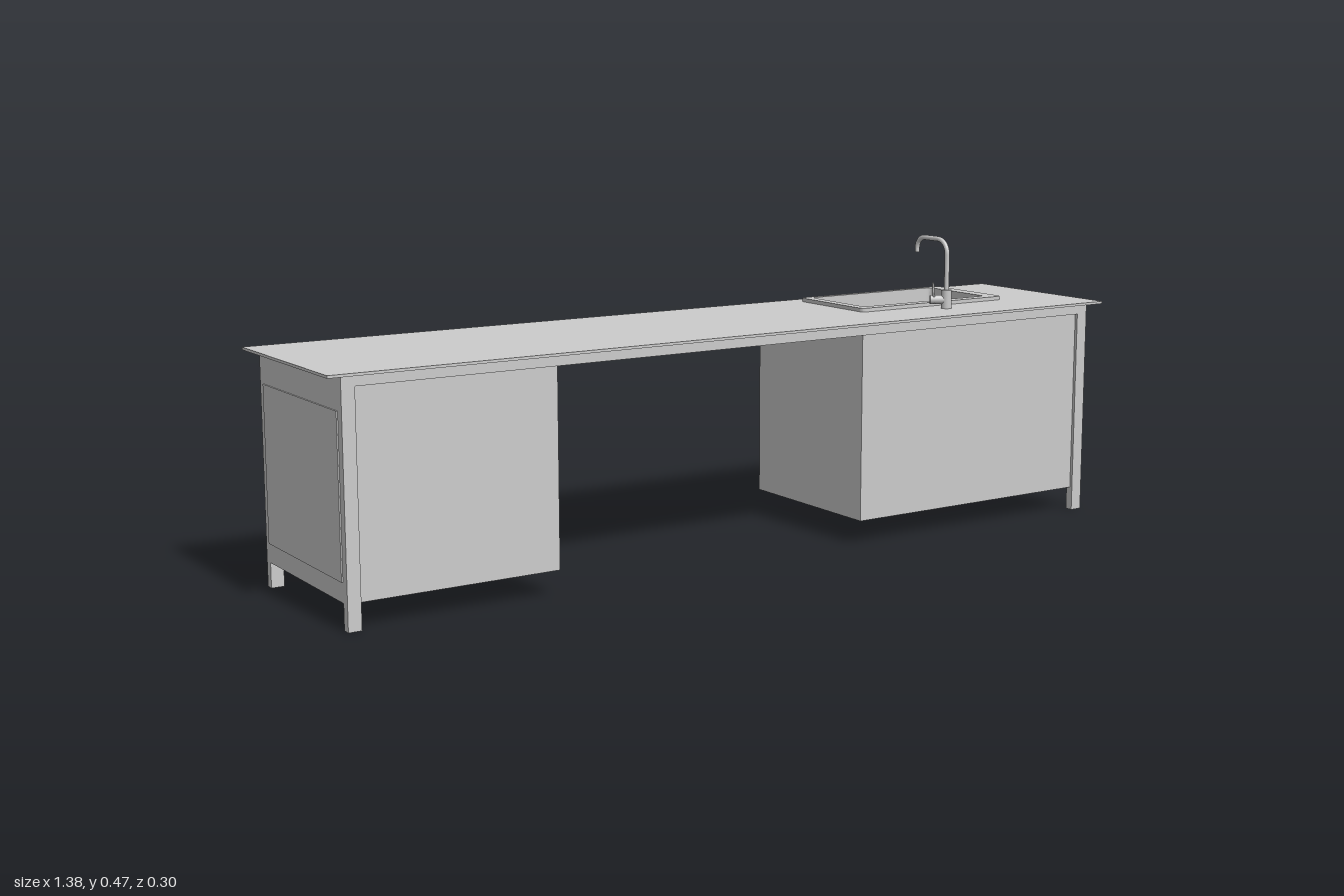
import * as THREE from 'three';

const mat = new THREE.MeshStandardMaterial({ color: 0xcccccc });

function add(group, name, geometry) {
  const mesh = new THREE.Mesh(geometry, mat);
  mesh.name = name;
  group.add(mesh);
  return mesh;
}

// Box given by its limits on each axis
function box(group, name, x0, x1, y0, y1, z0, z1) {
  const mesh = add(group, name, new THREE.BoxGeometry(x1 - x0, y1 - y0, z1 - z0));
  mesh.position.set((x0 + x1) / 2, (y0 + y1) / 2, (z0 + z1) / 2);
  return mesh;
}

// Rounded rectangle outline in x and z
function outline(target, x0, x1, z0, z1, r) {
  target.moveTo(x0 + r, z0);
  target.lineTo(x1 - r, z0);
  target.quadraticCurveTo(x1, z0, x1, z0 + r);
  target.lineTo(x1, z1 - r);
  target.quadraticCurveTo(x1, z1, x1 - r, z1);
  target.lineTo(x0 + r, z1);
  target.quadraticCurveTo(x0, z1, x0, z1 - r);
  target.lineTo(x0, z0 + r);
  target.quadraticCurveTo(x0, z0, x0 + r, z0);
  return target;
}

// Horizontal slab with a rectangular opening, from y1 down to y0
function slab(group, name, outer, inner, y0, y1) {
  const shape = outline(new THREE.Shape(), ...outer);
  shape.holes.push(outline(new THREE.Path(), ...inner));
  const geo = new THREE.ExtrudeGeometry(shape, { depth: y1 - y0, bevelEnabled: false, curveSegments: 6 });
  geo.rotateX(Math.PI / 2);
  geo.translate(0, y1, 0);
  return add(group, name, geo);
}

const BACK = 0.025, FRONT = 0.31, UNDER = 0.348;
const BOWL = [-0.018, 0.236, 0.05, 0.19, 0.008];

// Hollow cabinet; outer is the frame end, inner the knee-space end, s the outward direction
function cabinet(name, outer, inner, s) {
  const g = new THREE.Group();
  g.name = name;
  const span = (part, a, b, ...rest) => box(g, part, Math.min(a, b), Math.max(a, b), ...rest);
  const post = outer - s * 0.02;
  for (const [z0, z1] of [[BACK, BACK + 0.013], [FRONT - 0.013, FRONT]])
    span('leg', post, outer, 0, UNDER, z0, z1);
  span('endWall', outer - s * 0.006, outer - s * 0.001, 0.038, UNDER, BACK + 0.013, FRONT - 0.013);
  span('endTopRail', post, outer, 0.3, UNDER, BACK + 0.013, FRONT - 0.013);
  span('endBottomRail', post, outer, 0.038, 0.067, BACK + 0.013, FRONT - 0.013);
  span('endPanel', post, outer + s * 0.002, 0.067, 0.3, 0.039, 0.297);
  span('frontPanel', inner, post, 0.038, UNDER, FRONT - 0.01, FRONT - 0.005);
  span('backPanel', inner, post, 0.038, UNDER, BACK + 0.004, BACK + 0.009);
  span('innerWall', inner, inner + s * 0.006, 0.038, UNDER, BACK + 0.004, FRONT - 0.005);
  span('floor', inner, outer - s * 0.002, 0.038, 0.043, BACK + 0.004, FRONT - 0.005);
  return g;
}

// Bar handle on two short standoffs, lying along x
function handle(name, length) {
  const g = new THREE.Group();
  g.name = name;
  box(g, 'bar', -length / 2, length / 2, -0.003, 0.003, 0.0135, 0.0165);
  for (const s of [-1, 1])
    box(g, 'standoff', s * (length / 2 - 0.003) - 0.003, s * (length / 2 - 0.003) + 0.003, -0.003, 0.003, 0.0165, 0.022);
  return g;
}

function faucet() {
  const g = new THREE.Group();
  g.name = 'faucet';
  const base = add(g, 'faucetBase', new THREE.CylinderGeometry(0.0085, 0.0085, 0.03, 24));
  base.position.y = 0.015;
  // Spout rises, bends over the bowl and turns down
  const p = (y, z) => new THREE.Vector3(0, y, z);
  const path = new THREE.CurvePath();
  path.add(new THREE.LineCurve3(p(0.02, 0), p(0.087, 0)));
  path.add(new THREE.CubicBezierCurve3(p(0.087, 0), p(0.1, 0), p(0.111, -0.009), p(0.111, -0.024)));
  path.add(new THREE.LineCurve3(p(0.111, -0.024), p(0.111, -0.056)));
  path.add(new THREE.CubicBezierCurve3(p(0.111, -0.056), p(0.111, -0.068), p(0.104, -0.075), p(0.092, -0.076)));
  add(g, 'spout', new THREE.TubeGeometry(path, 70, 0.004, 14));
  const nozzle = add(g, 'nozzle', new THREE.CylinderGeometry(0.0035, 0.0035, 0.008, 16));
  nozzle.position.set(0, 0.089, -0.076);
  // Side valve with its thin lever
  const valve = add(g, 'valve', new THREE.CylinderGeometry(0.0075, 0.0075, 0.024, 20));
  valve.rotation.set(0, -0.6, Math.PI / 2);
  valve.position.set(-0.012, 0.014, -0.008);
  const lever = add(g, 'lever', new THREE.CylinderGeometry(0.0018, 0.0018, 0.034, 10));
  lever.position.set(-0.02, 0.025, -0.008);
  lever.rotation.z = 0.1;
  return g;
}

export function createModel() {
  const model = new THREE.Group();
  model.name = 'sinkCounter';

  // Thin worktop with a bowl cut-out, on two long rails
  slab(model, 'worktop', [-1, 0.385, 0.016, 0.318, 0.0005], BOWL, UNDER, 0.352);
  box(model, 'frontRail', -0.96, 0.338, 0.333, UNDER, FRONT - 0.012, FRONT);
  box(model, 'backRail', -0.96, 0.338, 0.333, UNDER, BACK, BACK + 0.012);

  model.add(cabinet('sinkCabinet', 0.357, -0.11, 1));
  const store = cabinet('drawerCabinet', -0.978, -0.65, -1);
  model.add(store);

  // Drawer and pair of doors
  const left = -0.955, right = -0.652, mid = (left + right) / 2;
  box(store, 'drawerFront', left, right, 0.258, 0.325, 0.022, 0.03);
  const pull = handle('drawerHandle', 0.095);
  pull.position.set(mid, 0.306, 0);
  store.add(pull);
  for (const s of [-1, 1]) {
    const a = mid + s * 0.001, b = s < 0 ? left : right;
    box(store, 'door', Math.min(a, b), Math.max(a, b), 0.042, 0.255, 0.022, 0.03);
    const grip = handle('doorHandle', 0.096);
    grip.rotation.z = Math.PI / 2;
    grip.position.set(mid + s * 0.014, 0.16, 0);
    store.add(grip);
  }

  // Sink: raised rim, bowl walls, floor and drain
  const sink = new THREE.Group();
  sink.name = 'sink';
  model.add(sink);
  slab(sink, 'rim', [-0.035, 0.26, 0.04, 0.208, 0.01], BOWL, 0.352, 0.358);
  slab(sink, 'bowlWall', [-0.021, 0.239, 0.047, 0.193, 0.01], BOWL, 0.26, 0.353);
  box(sink, 'bowlFloor', -0.019, 0.237, 0.257, 0.262, 0.049, 0.191);
  const ring = add(sink, 'drainRing', new THREE.TorusGeometry(0.014, 0.0025, 8, 28));
  ring.rotation.x = Math.PI / 2;
  ring.position.set(0.113, 0.262, 0.122);
  const plug = add(sink, 'drainPlug', new THREE.CylinderGeometry(0.007, 0.007, 0.004, 20));
  plug.position.set(0.113, 0.263, 0.122);

  const tap = faucet();
  tap.position.set(0.11, 0.352, 0.242);
  model.add(tap);
  return model;
}
